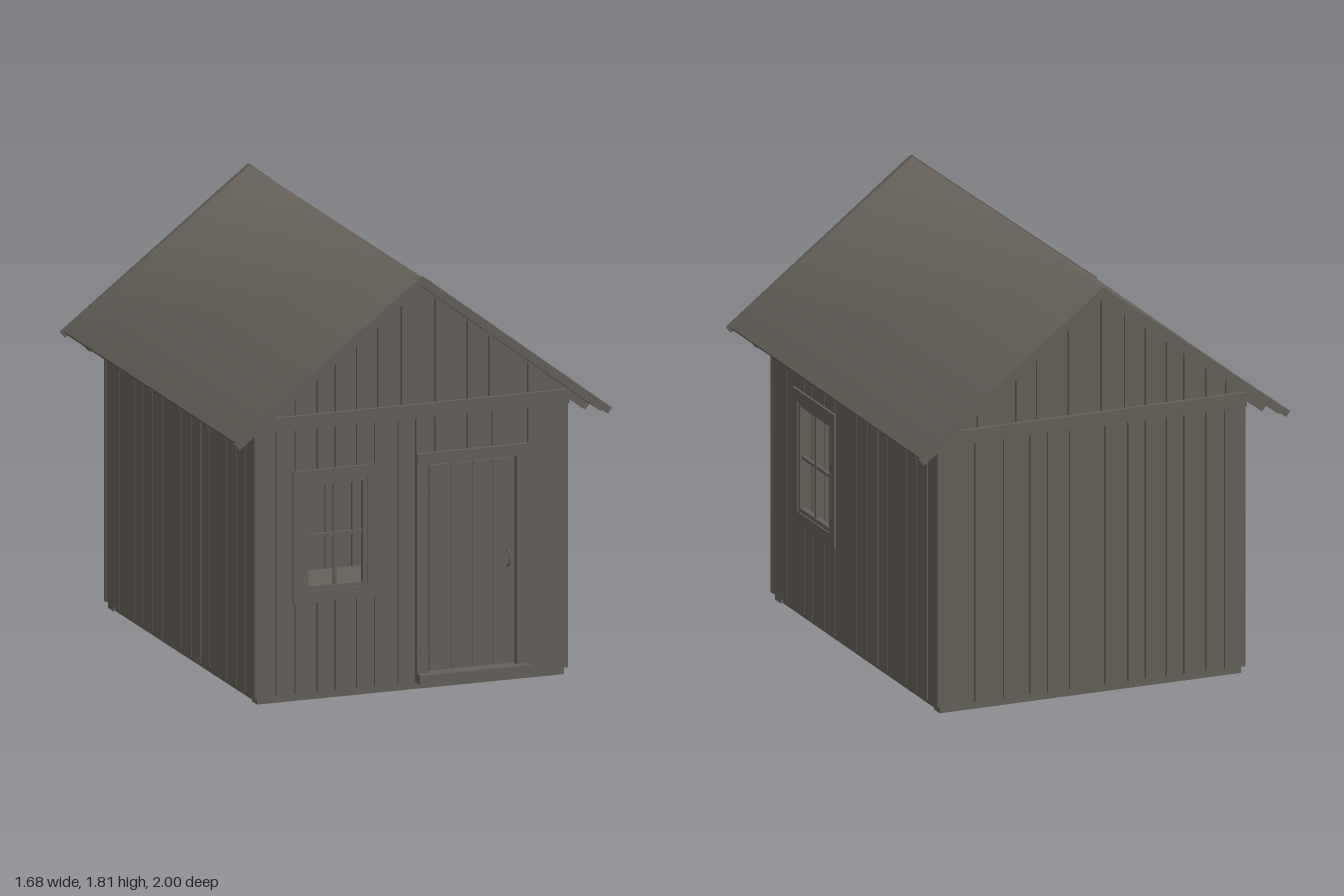
import * as THREE from 'three';
import { mergeGeometries } from 'three/addons/utils/BufferGeometryUtils.js';

export function createModel() {
  const shed = new THREE.Group();
  shed.name = 'shed';
  const wood = new THREE.MeshStandardMaterial({ color: 0x66615a });
  wood.name = 'weatheredWood';

  // ---- helpers ----
  const box = (x0, x1, y0, y1, z0, z1) =>
    new THREE.BoxGeometry(x1 - x0, y1 - y0, z1 - z0)
      .translate((x0 + x1) / 2, (y0 + y1) / 2, (z0 + z1) / 2);
  const plate = (points, z0, z1) => {
    const shape = new THREE.Shape(points.map(([x, y]) => new THREE.Vector2(x, y)));
    return new THREE.ExtrudeGeometry(shape, { depth: z1 - z0, bevelEnabled: false }).translate(0, 0, z0);
  };
  const add = (name, parts, turn = 0) => {
    const mesh = new THREE.Mesh(mergeGeometries(parts.map((g) => (g.index ? g.toNonIndexed() : g))), wood);
    mesh.name = name;
    mesh.rotation.y = turn;
    shed.add(mesh);
    return mesh;
  };

  // Upright boards between the given edges, cut around rectangular openings
  const GAP = 0.003, T = 0.02;
  const boards = (edges, y0, top, face, openings = []) => {
    const parts = [];
    const board = (a, b, lo, hi) => {
      const pts = [[a, lo], [b, lo], [b, hi(b)]];
      if (a < 0 && b > 0) pts.push([0, hi(0)]);
      pts.push([a, hi(a)]);
      parts.push(plate(pts, face - T, face));
    };
    for (let i = 0; i < edges.length - 1; i++) {
      const a = edges[i] + (i ? GAP : 0);
      const b = edges[i + 1] - (i < edges.length - 2 ? GAP : 0);
      const cuts = [a, b];
      openings.forEach((o) => [o.x0, o.x1].forEach((x) => { if (x > a && x < b) cuts.push(x); }));
      cuts.sort((p, q) => p - q);
      for (let k = 0; k < cuts.length - 1; k++) {
        const mid = (cuts[k] + cuts[k + 1]) / 2;
        const hole = openings.find((o) => mid > o.x0 && mid < o.x1);
        if (!hole) { board(cuts[k], cuts[k + 1], y0, top); continue; }
        if (hole.y0 > y0 + 0.01) board(cuts[k], cuts[k + 1], y0, () => hole.y0);
        board(cuts[k], cuts[k + 1], hole.y1, top);
      }
    }
    return parts;
  };

  // Four mitred boards around a rectangle
  const mitred = (x0, x1, y0, y1, w, z0, z1) => {
    const o = [[x0, y0], [x1, y0], [x1, y1], [x0, y1]];
    const n = [[x0 + w, y0 + w], [x1 - w, y0 + w], [x1 - w, y1 - w], [x0 + w, y1 - w]];
    return o.map((p, i) => plate([p, o[(i + 1) % 4], n[(i + 1) % 4], n[i]], z0, z1));
  };

  // ---- walls ----
  const LOW = 0.03, PLATE = 1.2, FRONT = 0.86, SIDE = 0.697;
  const gableTop = (x) => 1.755 - 0.771 * Math.abs(x);
  const flat = () => PLATE;
  const frontWindow = { x0: -0.48, x1: -0.2, y0: 0.47, y1: 0.94 };
  const sideWindow = { x0: -0.57, x1: -0.24, y0: 0.47, y1: 0.95 };
  const doorway = { x0: 0.07, x1: 0.465, y0: 0.03, y1: 0.97 };
  const frontEdges = [-0.7, -0.605, -0.52, -0.42, -0.34, -0.245, -0.165, -0.06, 0.02, 0.105, 0.25, 0.36, 0.52, 0.7];
  const backEdges = [-0.7, -0.53, -0.4, -0.28, -0.2, -0.1, 0.06, 0.165, 0.245, 0.34, 0.42, 0.52, 0.605, 0.7];
  const gableEdges = [-0.7, -0.61, -0.52, -0.42, -0.34, -0.245, -0.15, -0.045, 0.105, 0.25, 0.345, 0.52, 0.7];
  const sideEdges = [-0.85, -0.69, -0.52, -0.43, -0.31, -0.2, 0.02, 0.13, 0.24, 0.34, 0.53, 0.64, 0.75, 0.85];

  add('frontWall', boards(frontEdges, LOW, flat, FRONT, [frontWindow, doorway]));
  add('backWall', boards(backEdges, LOW, flat, FRONT), Math.PI);
  add('rightHandWall', boards(sideEdges, LOW, flat, SIDE, [sideWindow]), Math.PI / 2);
  add('leftHandWall', boards(sideEdges, LOW, flat, SIDE), -Math.PI / 2);
  add('frontGable', boards(gableEdges, PLATE, gableTop, FRONT));
  add('backGable', boards(gableEdges.map((x) => -x).reverse(), PLATE, gableTop, FRONT), Math.PI);
  add('frontHeaderBeam', [box(-0.7, 0.7, 1.17, 1.23, FRONT, 0.878)]);
  add('backHeaderBeam', [box(-0.7, 0.7, 1.17, 1.23, FRONT, 0.878)], Math.PI);

  // ---- windows: trim, sash and glazing bars ----
  const windowUnit = (name, o, face, turn) => {
    const w = 0.05, s = 0.018, b = 0.007;
    const cx = (o.x0 + o.x1) / 2, cy = (o.y0 + o.y1) / 2;
    add(name + 'Trim', mitred(o.x0 - w, o.x1 + w, o.y0 - w, o.y1 + w, w, face, face + 0.01), turn);
    add(name + 'Sash', [
      ...mitred(o.x0, o.x1, o.y0, o.y1, s, face - T, face + 0.004),
      box(cx - b, cx + b, o.y0 + s, o.y1 - s, face - 0.015, face),
      box(o.x0 + s, o.x1 - s, cy - b, cy + b, face - 0.014, face - 0.001),
    ], turn);
  };
  windowUnit('frontWindow', frontWindow, FRONT, 0);
  windowUnit('sideWindow', sideWindow, SIDE, Math.PI / 2);

  // ---- door ----
  add('doorFrame', [
    box(0.02, 0.07, 0.07, 0.965, FRONT, 0.875),
    box(0.465, 0.52, 0.07, 0.965, FRONT, 0.875),
    box(0.02, 0.52, 0.965, 1.015, FRONT, 0.877),
  ]);
  add('doorStep', [box(0.02, 0.52, 0.03, 0.07, 0.84, 0.908)]);
  const doorEdges = [0.076, 0.175, 0.27, 0.36, 0.459];
  add('door', doorEdges.slice(0, 4).map((x, i) =>
    box(x + 0.001, doorEdges[i + 1] - 0.001, 0.078, 0.96, 0.85, 0.868)));
  add('doorBattens', [0.16, 0.86].map((y) => box(0.085, 0.45, y - 0.035, y + 0.035, 0.835, 0.85)));
  [0.15, 0.87].forEach((y) => add('hinge', [
    box(0.04, 0.07, y - 0.008, y + 0.008, 0.875, 0.88),
    new THREE.CylinderGeometry(0.006, 0.006, 0.07, 8).translate(0.075, y, 0.878),
  ]));
  const grip = new THREE.CatmullRomCurve3([[0.5, 0.865], [0.505, 0.895], [0.53, 0.904], [0.56, 0.895], [0.565, 0.865]]
    .map(([y, z]) => new THREE.Vector3(0.423, y, z)));
  add('doorHandle', [
    new THREE.TubeGeometry(grip, 12, 0.005, 6),
    box(0.417, 0.429, 0.485, 0.58, 0.867, 0.871),
  ]);

  // ---- floor: sill beams and planks ----
  add('sillBeams', [
    box(-0.685, 0.685, 0, 0.06, 0.79, 0.838), box(-0.685, 0.685, 0, 0.06, -0.838, -0.79),
    box(-0.675, -0.63, 0, 0.06, -0.79, 0.79), box(0.63, 0.675, 0, 0.06, -0.79, 0.79),
    box(-0.685, 0.685, 0, LOW, 0.838, 0.85), box(-0.685, 0.685, 0, LOW, -0.85, -0.838),
  ]);
  const planks = [];
  for (let i = 0; i < 14; i++) {
    const z = -0.838 + i * 0.1197;
    planks.push(box(-0.677, 0.677, 0.06, 0.08, z + 0.001, z + 0.1187));
  }
  add('floorPlanks', planks);

  // ---- roof ----
  const RIDGE = 1.805, EAVE_X = 0.83, EAVE_Y = 1.17;
  const angle = Math.atan2(RIDGE - EAVE_Y, EAVE_X);
  // Beam lying along a slope: s runs down from the ridge, d is depth below the surface
  const sloped = (side, s0, s1, d0, d1, z0, z1) =>
    box(s0, s1, -d1, -d0, z0, z1).rotateZ(-angle)
      .applyMatrix4(new THREE.Matrix4().makeRotationY(side > 0 ? 0 : Math.PI)).translate(0, RIDGE, 0);
  const sides = [-1, 1];

  // Roof skin, with shading running smoothly over the ridge
  const dx = 0.02 * Math.sin(angle), dy = 0.02 * Math.cos(angle);
  const strip = (points) => {
    const pos = [], idx = [];
    points.forEach(([x, y]) => pos.push(x, y, 0.988, x, y, -0.988));
    for (let i = 0; i < points.length - 1; i++) {
      const a = i * 2;
      idx.push(a, a + 2, a + 1, a + 1, a + 2, a + 3);
    }
    const g = new THREE.BufferGeometry();
    g.setAttribute('position', new THREE.Float32BufferAttribute(pos, 3));
    g.setIndex(idx);
    g.computeVertexNormals();
    return g;
  };
  const L = [-EAVE_X, EAVE_Y], R = [EAVE_X, EAVE_Y];
  const l = [-EAVE_X + dx, EAVE_Y - dy], r = [EAVE_X - dx, EAVE_Y - dy];
  add('roofSkin', [
    strip([L, [0, RIDGE], R]), strip([R, r]), strip([l, L]),
    strip([r, [0, RIDGE - 0.02 / Math.cos(angle)]]), strip([[0, RIDGE - 0.02 / Math.cos(angle)], l]),
  ]);

  sides.forEach((side) => {
    // Sheathing boards below the skin
    const sheathing = [];
    for (let i = 0; i < 10; i++) {
      sheathing.push(sloped(side, 0.02 + i * 0.1015, 0.117 + i * 0.1015, 0.02, 0.033, -0.98, 0.98));
    }
    add('roofBoards', sheathing);
    // Rafters whose tails show below the eaves
    add('rafters', [0.815, 0.47, 0.135, -0.195, -0.52, -0.815].map((z) =>
      sloped(side, 0.04, 1.037, 0.033, 0.064, z - 0.023, z + 0.023)));
    // Edge boards along the gable ends
    add('bargeBoards', sides.map((e) =>
      sloped(side, 0, 1.056, -0.005, 0.026, e > 0 ? 0.985 : -1, e > 0 ? 1 : -0.985)));
  });
  add('ridgeBeam', [box(-0.016, 0.016, 1.72, 1.765, -0.9, 0.9)]);

  return shed;
}
